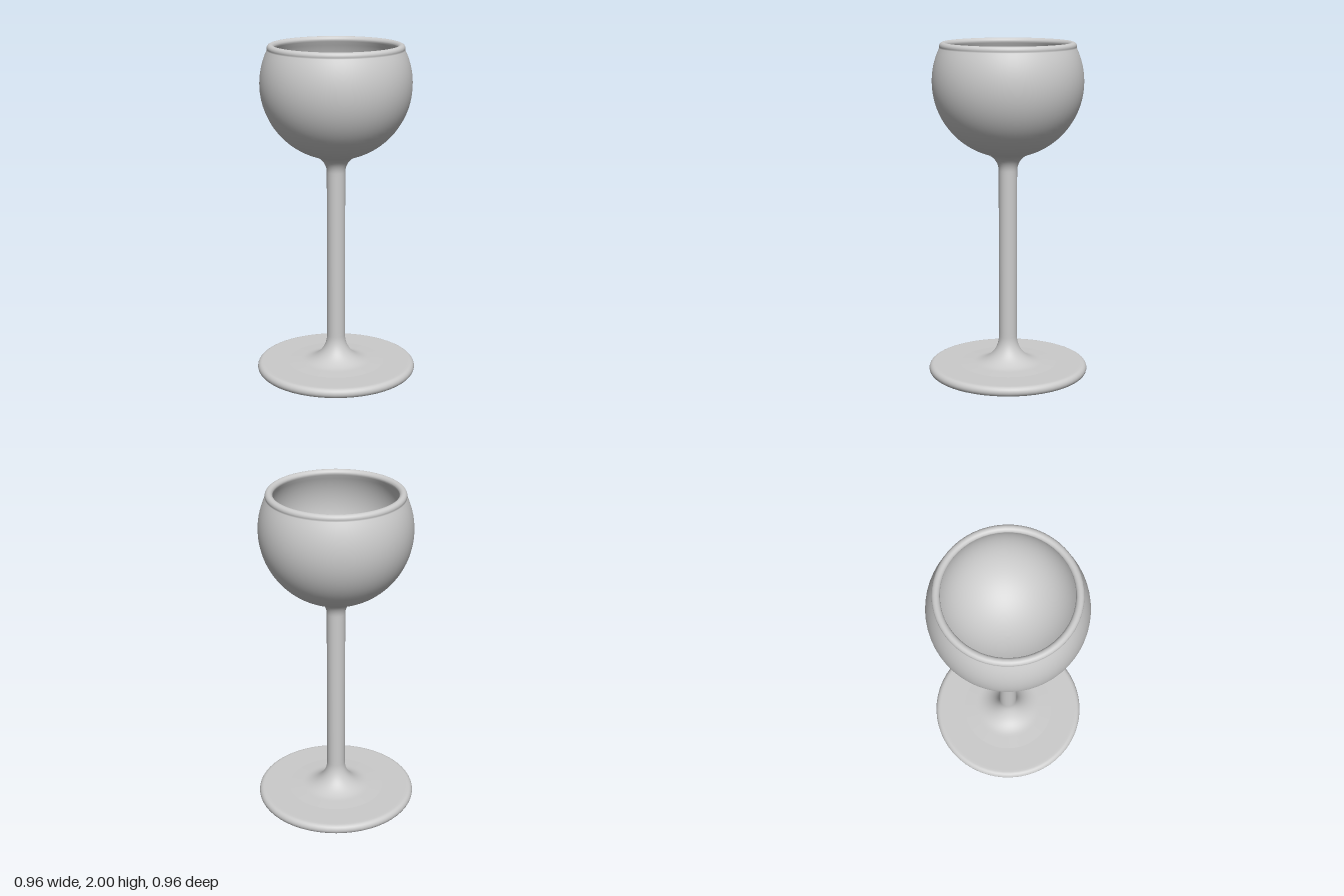
import * as THREE from 'three';

const SEGMENTS = 56;
const rad = THREE.MathUtils.degToRad;

// Points of an arc in the (radius, height) profile plane, angles in degrees
function arc(cx, cy, r, from, to, steps) {
  return Array.from({ length: steps + 1 }, (_, i) => {
    const a = rad(from + ((to - from) * i) / steps);
    return new THREE.Vector2(Math.max(0, cx + r * Math.cos(a)), cy + r * Math.sin(a));
  });
}

const point = (r, y) => new THREE.Vector2(r, y);

export function createModel() {
  const group = new THREE.Group();
  const material = new THREE.MeshStandardMaterial({ color: 0xcccccc, side: THREE.DoubleSide });

  function turned(name, profile) {
    const mesh = new THREE.Mesh(new THREE.LatheGeometry(profile, SEGMENTS), material);
    mesh.name = name;
    group.add(mesh);
  }

  // Flat disc foot with a rounded edge
  turned('foot', [
    point(0, 0), point(0.44, 0),
    ...arc(0.451, 0.029, 0.029, -90, 90, 12),
    point(0.44, 0.058), point(0, 0.058),
  ]);

  // Stem flaring into the foot below and into the bowl above
  turned('stem', [
    point(0.29, 0.058),
    ...arc(0.215, 0.222, 0.16, 270, 180, 14),
    point(0.055, 0.25), point(0.055, 1.22),
    ...arc(0.161, 1.243, 0.106, 180, 107, 10),
  ]);

  // Hollow spherical bowl: outer wall, rolled rim, inner wall
  turned('bowl', [
    ...arc(0, 1.77, 0.445, -73, 26, 28),
    ...arc(0.378, 1.978, 0.022, -25, 180, 14),
    ...arc(0, 1.77, 0.41, 29, -90, 32),
  ]);

  return group;
}
